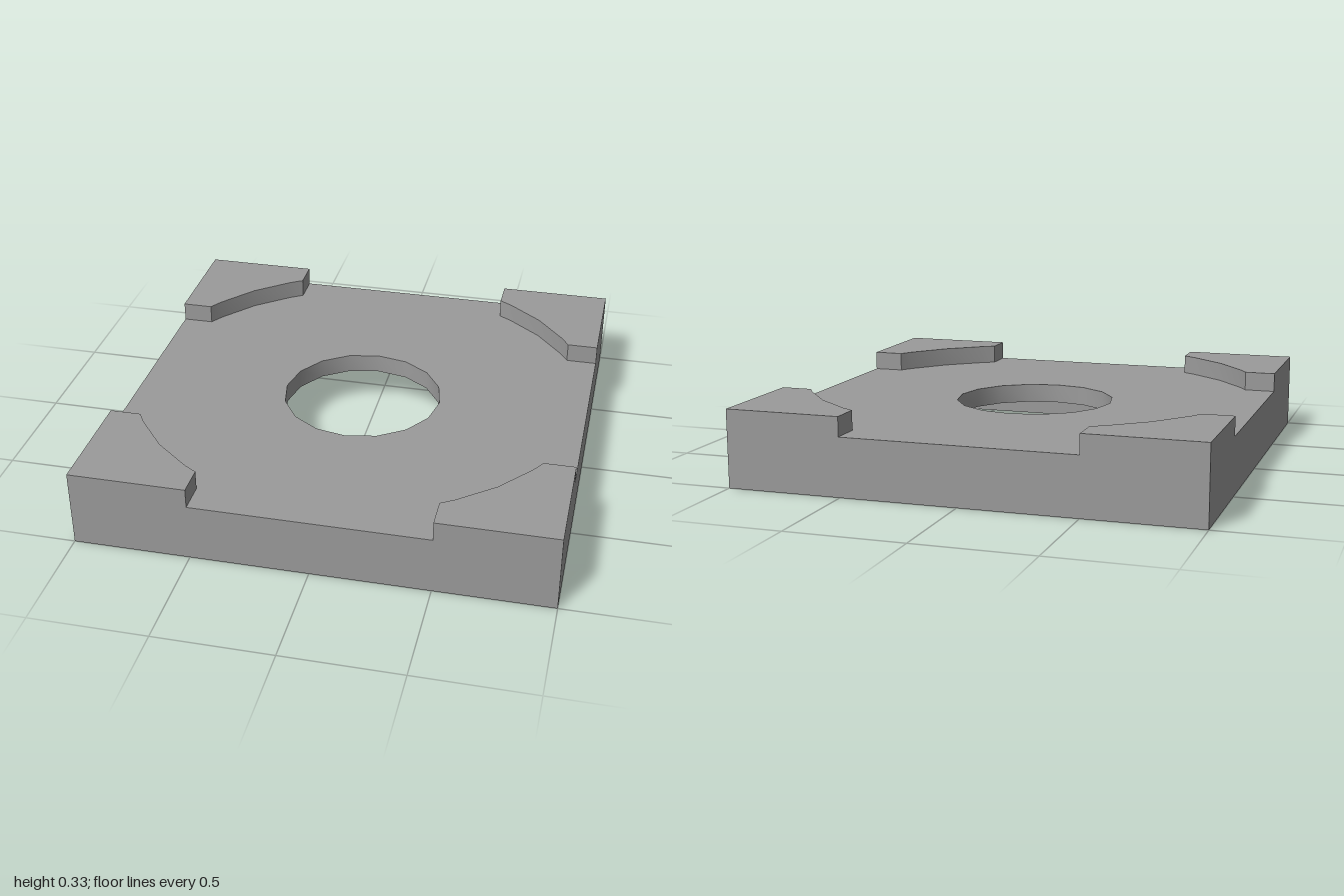
import * as THREE from 'three';
import { toCreasedNormals } from 'three/addons/utils/BufferGeometryUtils.js';

const material = new THREE.MeshStandardMaterial({ color: 0x9b9b9b });

// Points on a circle at the given angles in degrees
const onCircle = (radius, degrees) => degrees.map((d) => {
  const a = THREE.MathUtils.degToRad(d);
  return new THREE.Vector2(radius * Math.cos(a), radius * Math.sin(a));
});

const square = (half) => [[-1, -1], [1, -1], [1, 1], [-1, 1]]
  .map(([x, y]) => new THREE.Vector2(x * half, y * half));

// Horizontal slab with the given outline, from bottom to top
function slab(name, outline, bottom, top, hole) {
  const shape = new THREE.Shape(outline);
  if (hole) shape.holes.push(new THREE.Path(hole));
  const geometry = new THREE.ExtrudeGeometry(shape, { depth: top - bottom, bevelEnabled: false });
  geometry.rotateX(-Math.PI / 2);
  geometry.translate(0, bottom, 0);
  const mesh = new THREE.Mesh(toCreasedNormals(geometry, 0.5), material);
  mesh.name = name;
  return mesh;
}

export function createModel() {
  const model = new THREE.Group();
  model.name = 'squareBase';
  const ceiling = 1 / 6, deck = 1 / 4, top = 1 / 3;

  // Rim around the recessed underside
  model.add(slab('bottomRim', square(1), 0, ceiling, square(0.85)));

  // Deck with a 16-sided opening
  const opening = onCircle(0.35, Array.from({ length: 16 }, (_, i) => i * 22.5));
  model.add(slab('deckPlate', square(1), ceiling, deck, opening));

  // Raised corners, cut by a circle that touches the outer edges
  const corner = [
    new THREE.Vector2(0.5, 1),
    ...onCircle(1, [60, 56.25, 45, 33.75, 30]),
    new THREE.Vector2(1, 0.5),
    new THREE.Vector2(1, 1),
  ];
  for (let i = 0; i < 4; i++) {
    const block = slab('cornerBlock' + (i + 1), corner, deck, top);
    block.rotation.y = i * Math.PI / 2;
    model.add(block);
  }
  return model;
}
